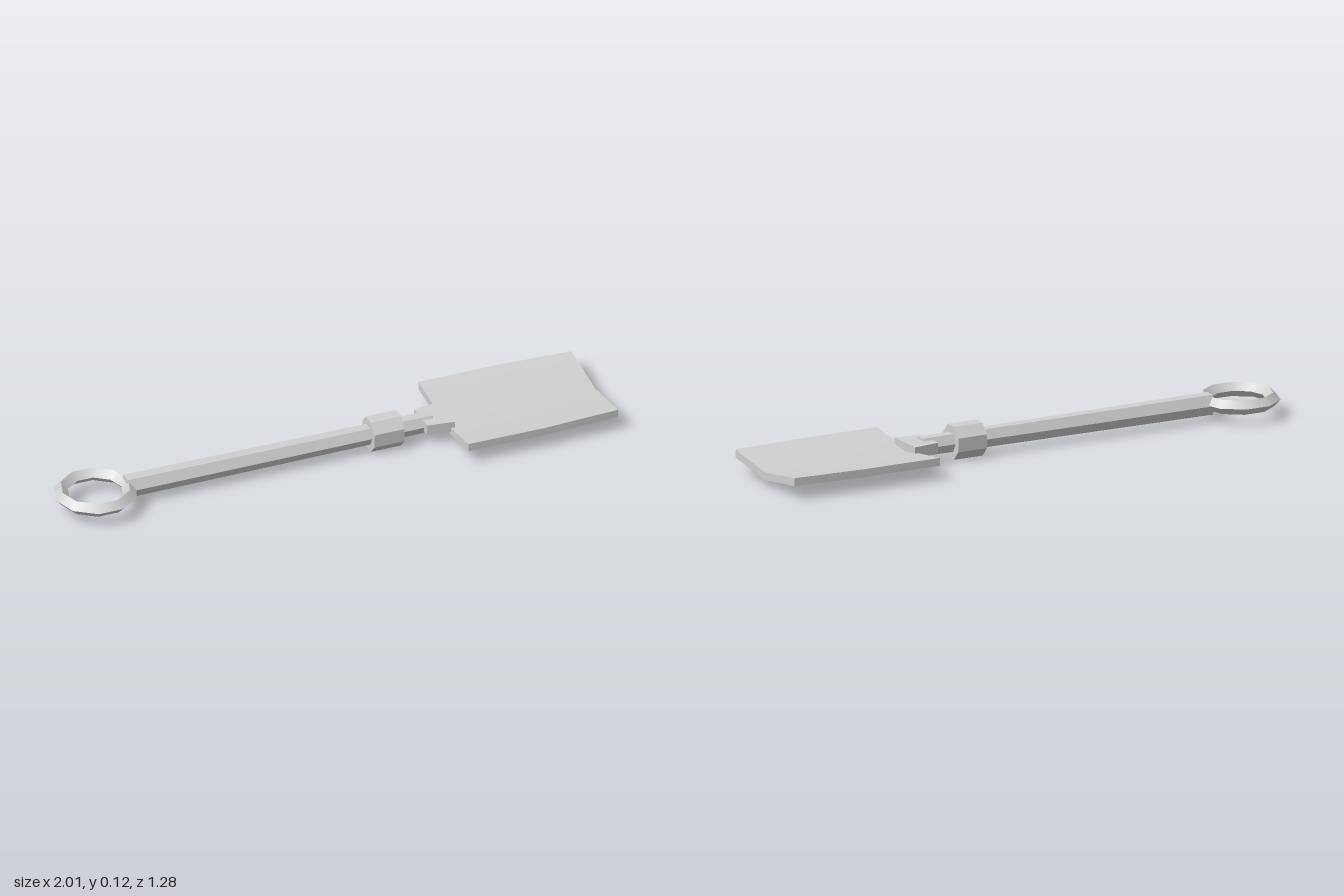
import * as THREE from 'three';

const AXIS_Y = 0.0635;

// Faceted prism along the shaft axis from x0 to x1, narrowing by taper
function prism(x0, x1, halfHeight, halfWidth, sides, { turn = 0, taper = 1 } = {}) {
  const g = new THREE.CylinderGeometry(taper, 1, x1 - x0, sides);
  g.rotateY(turn);
  g.rotateZ(-Math.PI / 2);
  const apothem = Math.cos(Math.PI / sides);
  g.scale(1, halfHeight / apothem, halfWidth / (turn ? apothem : 1));
  g.translate((x0 + x1) / 2, AXIS_Y, 0);
  const faceted = g.toNonIndexed();
  faceted.computeVertexNormals();
  return faceted;
}

// Move every vertex of a geometry by a rule
function reshape(geo, rule) {
  const p = geo.attributes.position;
  const v = new THREE.Vector3();
  for (let i = 0; i < p.count; i++) {
    rule(v.fromBufferAttribute(p, i));
    p.setXYZ(i, v.x, v.y, v.z);
  }
  geo.computeVertexNormals();
  return geo;
}

export function createModel() {
  const model = new THREE.Group();
  model.name = 'shovel';
  const steel = new THREE.MeshStandardMaterial({ color: 0xd0d0d0 });
  steel.name = 'grey steel';

  // The tool lies flat, turned 28 degrees
  const tool = new THREE.Group();
  tool.name = 'tool';
  tool.rotation.y = -THREE.MathUtils.degToRad(28);
  tool.position.set(0.02, 0, -0.0215);
  model.add(tool);

  const add = (name, geometry) => {
    const mesh = new THREE.Mesh(geometry, steel);
    mesh.name = name;
    tool.add(mesh);
  };

  // Ring grip: four bands, smooth around and sharp at the diamond's edges
  const corner = (i) => {
    const a = (i * Math.PI) / 2;
    return new THREE.Vector2(0.13 + 0.027 * Math.cos(a), 0.027 * Math.sin(a));
  };
  for (let i = 0; i < 4; i++) {
    const band = new THREE.LatheGeometry([corner(i), corner(i + 1)], 10, Math.PI / 2);
    band.translate(-0.983, AXIS_Y + 0.003, 0);
    add('ringGrip', band);
  }

  // Hexagonal shaft, slightly tapered, running through the collar to the blade
  add('shaft', prism(-0.865, 0.345, 0.038, 0.042, 6, { taper: 0.87 }));

  // Locking collar
  add('collar', prism(0.098, 0.218, 0.0625, 0.057, 8, { turn: Math.PI / 8 }));

  // Bracket that widens towards the blade
  const bracket = reshape(new THREE.BoxGeometry(0.105, 0.04, 2), (v) => {
    v.z *= v.x > 0 ? 0.077 : 0.062;
    v.x += 0.3575;
    v.y += 0.067;
  });
  add('bracket', bracket);

  // Dished blade with slightly bowed sides
  const blade = reshape(new THREE.BoxGeometry(0.6, 0.03, 2, 2, 1, 2), (v) => {
    const along = v.x / 0.3;
    v.y += 0.038 + 0.032 * Math.abs(v.z);
    v.z *= 0.231 - 0.007 * along + 0.009 * (1 - along * along);
    v.x += 0.695;
  });
  add('blade', blade);

  return model;
}
